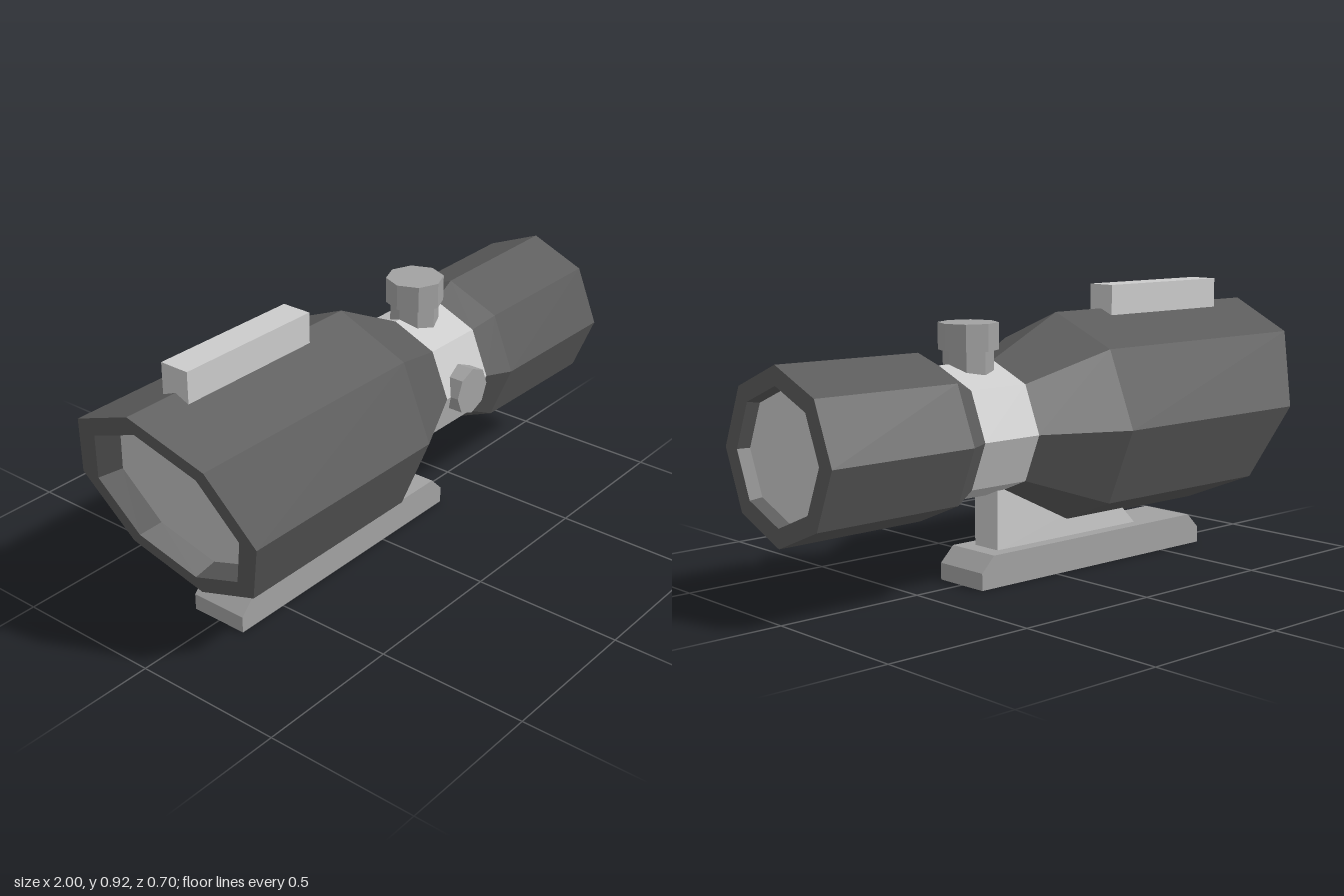
import * as THREE from 'three';

const AXIS_Y = 0.49;   // height of the optical axis
const SLANT = 0.357;   // slope of the cut front opening
const SIDES = 8;

const mat = (color) => new THREE.MeshStandardMaterial({ color, flatShading: true });

// Octagonal loft along x; each ring is [x, radius, slant]
function loft(rings) {
  const point = ([x, r, slant = 0], k) => {
    const a = (k / SIDES) * Math.PI * 2;
    const y = r * Math.cos(a);
    return [x - slant * y, AXIS_Y + y, r * Math.sin(a)];
  };
  const pos = [];
  for (let i = 0; i < rings.length - 1; i++) {
    const [p, q] = [rings[i], rings[i + 1]];
    for (let k = 0; k < SIDES; k++) {
      const a = point(p, k), b = point(p, k + 1), c = point(q, k), d = point(q, k + 1);
      if (p[1] > 0) pos.push(...a, ...b, ...c);
      if (q[1] > 0) pos.push(...b, ...d, ...c);
    }
  }
  const g = new THREE.BufferGeometry();
  g.setAttribute('position', new THREE.Float32BufferAttribute(pos, 3));
  g.computeVertexNormals();
  return g;
}

// Side profile in x/y, extruded symmetrically across z
function slab(points, width) {
  const shape = new THREE.Shape(points.map(([x, y]) => new THREE.Vector2(x, y)));
  const g = new THREE.ExtrudeGeometry(shape, { depth: width, bevelEnabled: false });
  return g.translate(0, 0, -width / 2);
}

export function createModel() {
  const group = new THREE.Group();
  const dark = mat(0x5c5c5c), mid = mat(0xa2a2a2), light = mat(0xcccccc);
  const add = (name, geometry, material) => {
    const mesh = new THREE.Mesh(geometry, material);
    mesh.name = name;
    group.add(mesh);
    return mesh;
  };

  // Objective housing with slanted mouth and taper to the collar
  add('objectiveHousing', loft([
    [-0.79, 0.27, SLANT], [-0.875, 0.285, SLANT], [-0.875, 0.35, SLANT],
    [-0.09, 0.35], [0.185, 0.215],
  ]), dark);
  add('objectiveLens', loft([[-0.79, 0, SLANT], [-0.79, 0.27, SLANT]]), light);

  // Collar between the two housings
  add('collar', loft([[0.185, 0.215], [0.405, 0.215]]), light);

  // Eyepiece with recessed lens
  add('eyepieceHousing', loft([
    [0.405, 0.215], [0.485, 0.26], [1, 0.265], [1, 0.205], [0.96, 0.197],
  ]), dark);
  add('eyepieceLens', loft([[0.96, 0.197], [0.96, 0]]), light);

  // Adjustment turrets
  add('topTurretStem', new THREE.CylinderGeometry(0.08, 0.08, 0.1, SIDES), mid)
    .position.set(0.285, 0.715, 0);
  add('topTurretCap', new THREE.CylinderGeometry(0.095, 0.095, 0.085, SIDES), mid)
    .position.set(0.285, 0.788, 0);
  const sideTurret = add('sideTurret', new THREE.CylinderGeometry(0.08, 0.08, 0.1, SIDES), mid);
  sideTurret.rotation.x = Math.PI / 2;
  sideTurret.position.set(0.285, AXIS_Y, 0.193);

  // Top rail
  add('topRail', new THREE.BoxGeometry(0.515, 0.1, 0.1), light).position.set(-0.555, 0.87, 0);

  // Mounting web and chamfered foot
  add('mountWeb', slab([
    [-0.415, 0.1], [0.215, 0.1], [0.215, 0.32], [0.185, 0.32], [-0.09, 0.18], [-0.335, 0.18],
  ], 0.108), light);
  add('mountFoot', slab([
    [-0.685, 0], [0.32, 0], [0.32, 0.055], [0.27, 0.105], [-0.635, 0.105], [-0.685, 0.055],
  ], 0.2), mid);

  return group;
}
